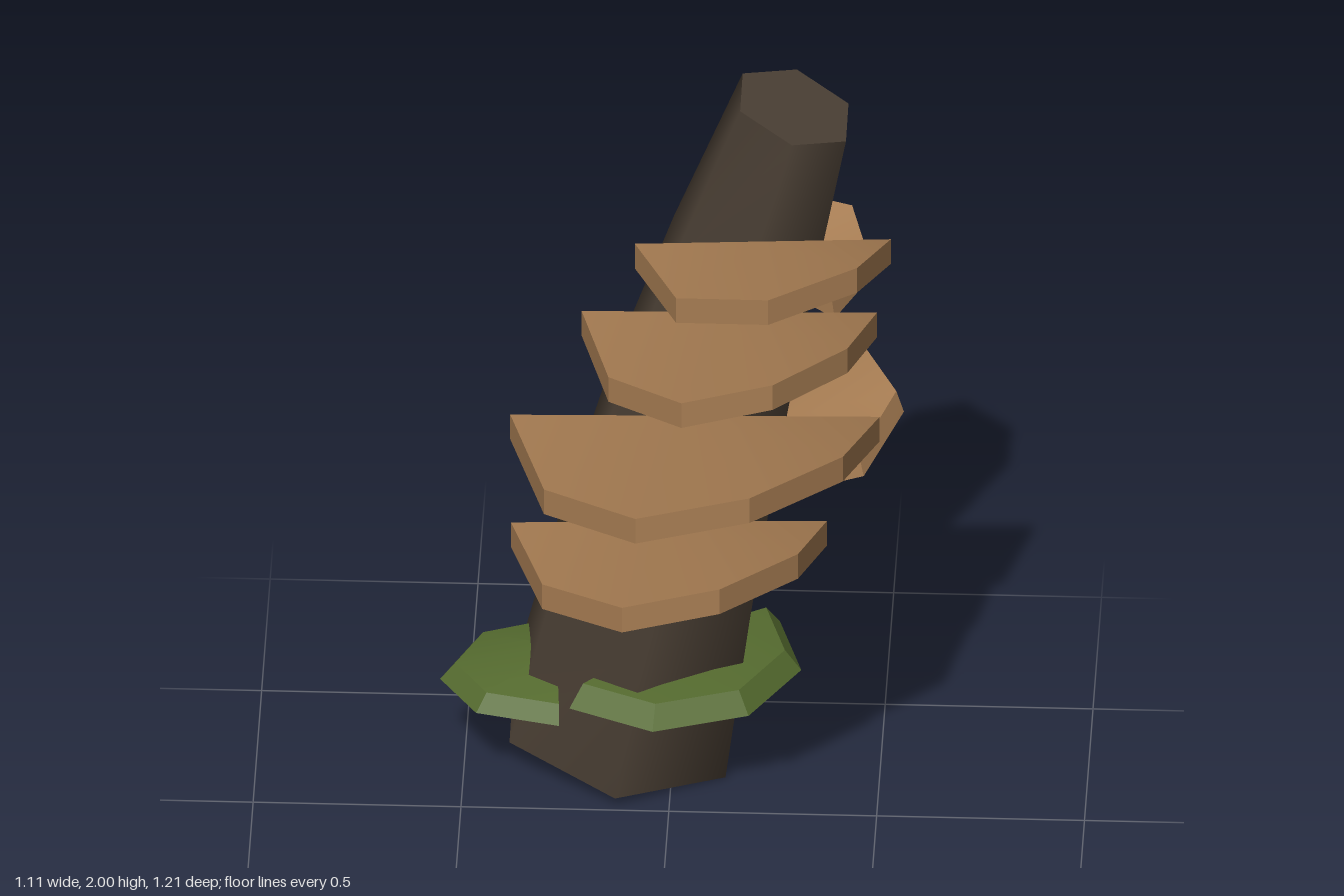
import * as THREE from 'three';
import { toCreasedNormals } from 'three/addons/utils/BufferGeometryUtils.js';

const material = (name, color) => {
  const m = new THREE.MeshStandardMaterial({ color });
  m.name = name;
  return m;
};

// Leaning, tapering, slightly bowed six-sided trunk with ends square to the lean
function trunkGeometry() {
  const foot = new THREE.Vector3(-0.13, 0.06, -0.308);
  const tip = new THREE.Vector3(0.298, 1.953, -0.098);
  const centre = new THREE.Vector3();
  const geo = new THREE.CylinderGeometry(1, 1, 1, 6, 4);
  const pos = geo.attributes.position;
  for (let i = 0; i < pos.count; i++) {
    const t = pos.getY(i) + 0.5;
    const bow = Math.sin(Math.PI * t);
    const r = THREE.MathUtils.lerp(0.3, 0.147, t) + 0.012 * bow;
    const x = pos.getX(i) * r, z = pos.getZ(i) * r;
    centre.lerpVectors(foot, tip, t);
    const tilt = THREE.MathUtils.lerp(-0.165, -0.31, t);
    pos.setXYZ(i, centre.x - 0.03 * bow + x, centre.y + tilt * x - 0.1 * z, centre.z - 0.015 * bow + z);
  }
  return toCreasedNormals(geo, 1.2);
}

// Half-round fan with its root at the origin, facing +z. The rim curls up
// towards +x; inset bevels the upper rim and dome raises the root.
function shelfGeometry({ width, reach, sides, lift = 0, depth = 0.07, inset = 0, dome = 0 }) {
  const bottom = [], top = [];
  for (let i = 0; i <= sides; i++) {
    const a = (Math.PI * i) / sides;
    const x = -width * Math.cos(a), z = reach * Math.sin(a);
    const y = lift * Math.sin(a) * (1 - Math.cos(a));
    bottom.push([x, y, z]);
    top.push([x * (1 - inset), y + depth, z * (1 - inset)]);
  }
  bottom.push([0, 0, 0]);
  top.push([0, depth + dome, 0]);

  const out = [];
  const tri = (...corners) => corners.forEach((c) => out.push(...c));
  const root = sides + 1;
  for (let i = 0; i <= root; i++) {
    const j = (i + 1) % (root + 1);
    // edge band
    tri(bottom[i], bottom[j], top[j]);
    tri(bottom[i], top[j], top[i]);
    // upper and lower fans
    if (i < sides) {
      tri(top[root], top[i], top[j]);
      tri(bottom[root], bottom[j], bottom[i]);
    }
  }
  const geo = new THREE.BufferGeometry();
  geo.setAttribute('position', new THREE.Float32BufferAttribute(out, 3));
  return toCreasedNormals(geo, 0.45);
}

export function createModel() {
  const bark = material('dark bark', 0x4a3f34);
  const tan = material('tan fungus', 0xa67c52);
  const moss = material('moss green', 0x556b2f);

  const group = new THREE.Group();
  const add = (name, geo, mat) => {
    const mesh = new THREE.Mesh(geo, mat);
    mesh.name = name;
    group.add(mesh);
    return mesh;
  };
  const addShelf = (name, mat, x, y, z, yaw, shape) => {
    const mesh = add(name, shelfGeometry(shape), mat);
    mesh.position.set(x, y, z);
    mesh.rotation.y = yaw;
  };

  add('trunk', trunkGeometry(), bark);

  // Large shelves climbing the front
  addShelf('frontShelf1', tan, 0, 0.75, -0.012, 0.05, { width: 0.38, reach: 0.5, sides: 5, lift: 0.087 });
  addShelf('frontShelf2', tan, 0.064, 1.078, 0.027, 0.03, { width: 0.444, reach: 0.6, sides: 5, lift: 0.103 });
  addShelf('frontShelf3', tan, 0.148, 1.397, 0.06, 0.03, { width: 0.355, reach: 0.53, sides: 5, lift: 0.09 });
  addShelf('frontShelf4', tan, 0.23, 1.62, 0.092, 0.074, { width: 0.308, reach: 0.385, sides: 4, lift: 0.077 });

  // Small upturned shelves on the left and back
  addShelf('sideShelfLower', tan, 0.25, 0.9, -0.26, Math.PI / 2,
    { width: 0.255, reach: 0.305, sides: 4, lift: 0.09, depth: 0.058, inset: 0.06 });
  addShelf('sideShelfUpper', tan, 0.245, 1.268, -0.367, 2.4,
    { width: 0.196, reach: 0.27, sides: 4, lift: 0.07, depth: 0.048, inset: 0.05 });

  // Domed moss plates around the foot
  addShelf('mossFront', moss, 0.005, 0.28, -0.22, 0.7,
    { width: 0.32, reach: 0.29, sides: 4, depth: 0.055, inset: 0.13, dome: 0.03 });
  addShelf('mossSide', moss, -0.28, 0.225, -0.24, -1.5,
    { width: 0.22, reach: 0.28, sides: 4, depth: 0.045, inset: 0.13, dome: 0.045 });
  return group;
}
